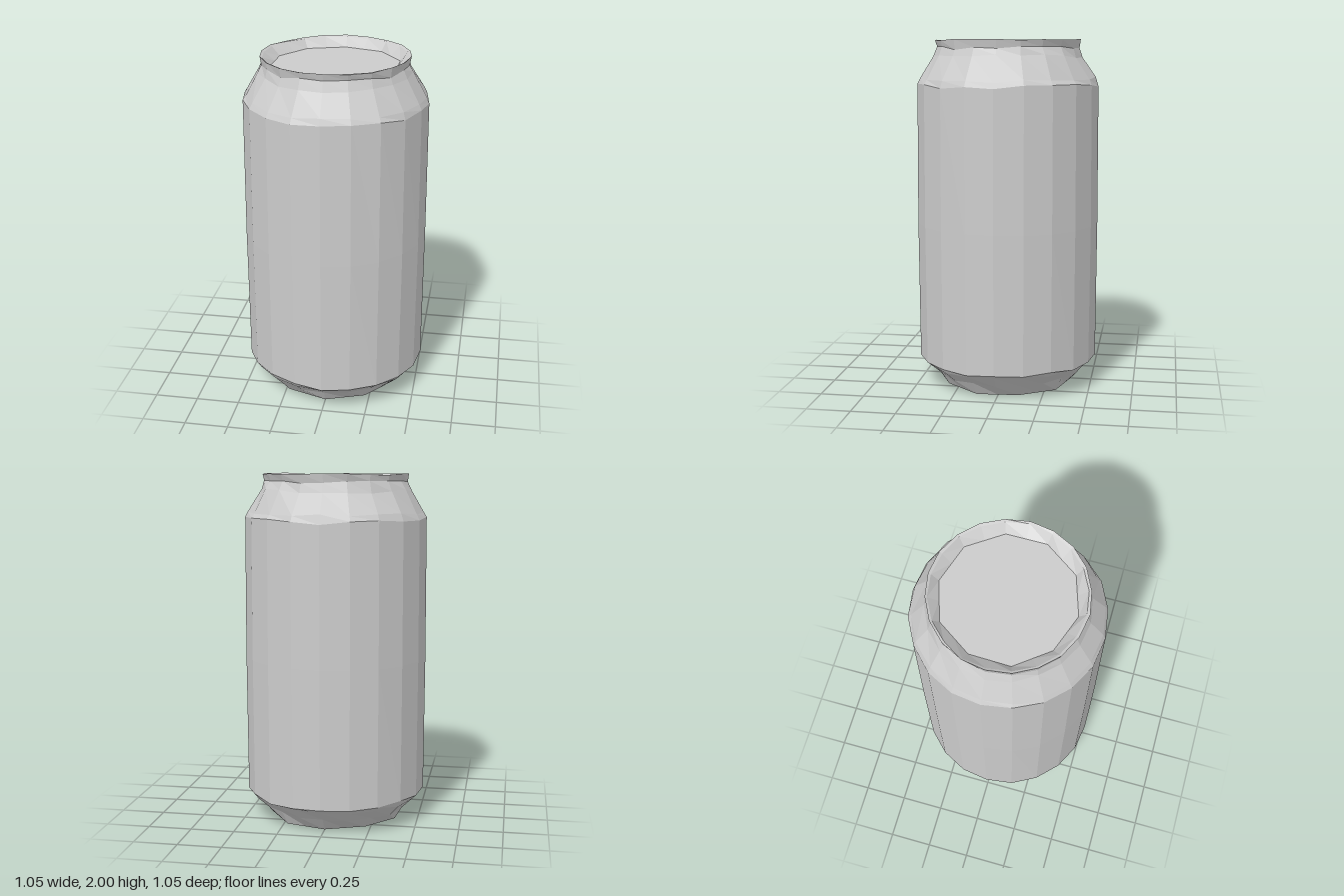
import * as THREE from 'three';

const SIDES = 20;

// Repeatable noise in -1..1 for a vertex of a ring
function noise(ring, side, salt) {
  const s = Math.sin(ring * 127.1 + side * 311.7 + salt * 74.7) * 43758.5453;
  return (s - Math.floor(s)) * 2 - 1;
}

// Turned shell from rings { id, r, y, dr, dy, coarse }: dr and dy are dent sizes,
// coarse rings drop every other corner so they read as ten-sided
function shell(name, rings, material) {
  const points = rings.map(({ r, y }) => new THREE.Vector2(r, y));
  const geometry = new THREE.LatheGeometry(points, SIDES);
  const pos = geometry.attributes.position;
  const corner = ({ id, r, y, dr = 0, dy = 0 }, side) => {
    const s = side % SIDES;
    const a = (s / SIDES) * Math.PI * 2;
    const radius = r + dr * noise(id, s, 1);
    return new THREE.Vector3(Math.sin(a) * radius, y + dy * noise(id, s, 2), Math.cos(a) * radius);
  };
  for (let side = 0; side <= SIDES; side++) {
    rings.forEach((ring, j) => {
      const p = ring.coarse && side % 2
        ? corner(ring, side - 1).lerp(corner(ring, side + 1), 0.5)
        : corner(ring, side);
      pos.setXYZ(side * rings.length + j, p.x, p.y, p.z);
    });
  }
  geometry.computeVertexNormals();
  const mesh = new THREE.Mesh(geometry, material);
  mesh.name = name;
  return mesh;
}

export function createModel() {
  const group = new THREE.Group();
  group.name = 'drinkCan';
  const metal = new THREE.MeshStandardMaterial({
    color: 0xcccccc, flatShading: true, side: THREE.DoubleSide,
  });

  // Rings shared by neighbouring parts
  const foot = { id: 1, r: 0.385, y: 0.008, dr: 0.006, dy: 0.004, coarse: true };
  const wallBottom = { id: 3, r: 0.521, y: 0.165, dr: 0.002, dy: 0.014 };
  const wallTop = { id: 5, r: 0.521, y: 1.745, dr: 0.002, dy: 0.012 };
  const rim = { id: 8, r: 0.418, y: 1.995, dr: 0.002, dy: 0.005 };

  // Domed underside, hollow inside the foot
  group.add(shell('base', [
    { id: 10, r: 0, y: 0.085 },
    { id: 11, r: 0.2, y: 0.075, dy: 0.006, coarse: true },
    { id: 12, r: 0.33, y: 0.04, dr: 0.008, dy: 0.006, coarse: true },
    foot,
  ], metal));

  // Taper from the foot up to the wall
  group.add(shell('bottomTaper', [
    foot,
    { id: 2, r: 0.435, y: 0.078, dr: 0.008, dy: 0.01 },
    { id: 9, r: 0.502, y: 0.14, dr: 0.004, dy: 0.008 },
    wallBottom,
  ], metal));

  // Straight wall, very slightly fuller in the middle
  group.add(shell('wall', [
    wallBottom,
    { id: 4, r: 0.525, y: 0.95 },
    wallTop,
  ], metal));

  // Shoulder and neck
  group.add(shell('neck', [
    wallTop,
    { id: 13, r: 0.505, y: 1.78, dr: 0.003, dy: 0.01 },
    { id: 6, r: 0.43, y: 1.905, dr: 0.007, dy: 0.012 },
    { id: 7, r: 0.409, y: 1.95, dr: 0.004, dy: 0.01 },
    rim,
  ], metal));

  // Rim and sunken lid
  group.add(shell('lid', [
    rim,
    { id: 14, r: 0.405, y: 1.99, dr: 0.003, dy: 0.003 },
    { id: 15, r: 0.362, y: 1.94, dr: 0.006, coarse: true },
    { id: 16, r: 0, y: 1.94 },
  ], metal));

  return group;
}
